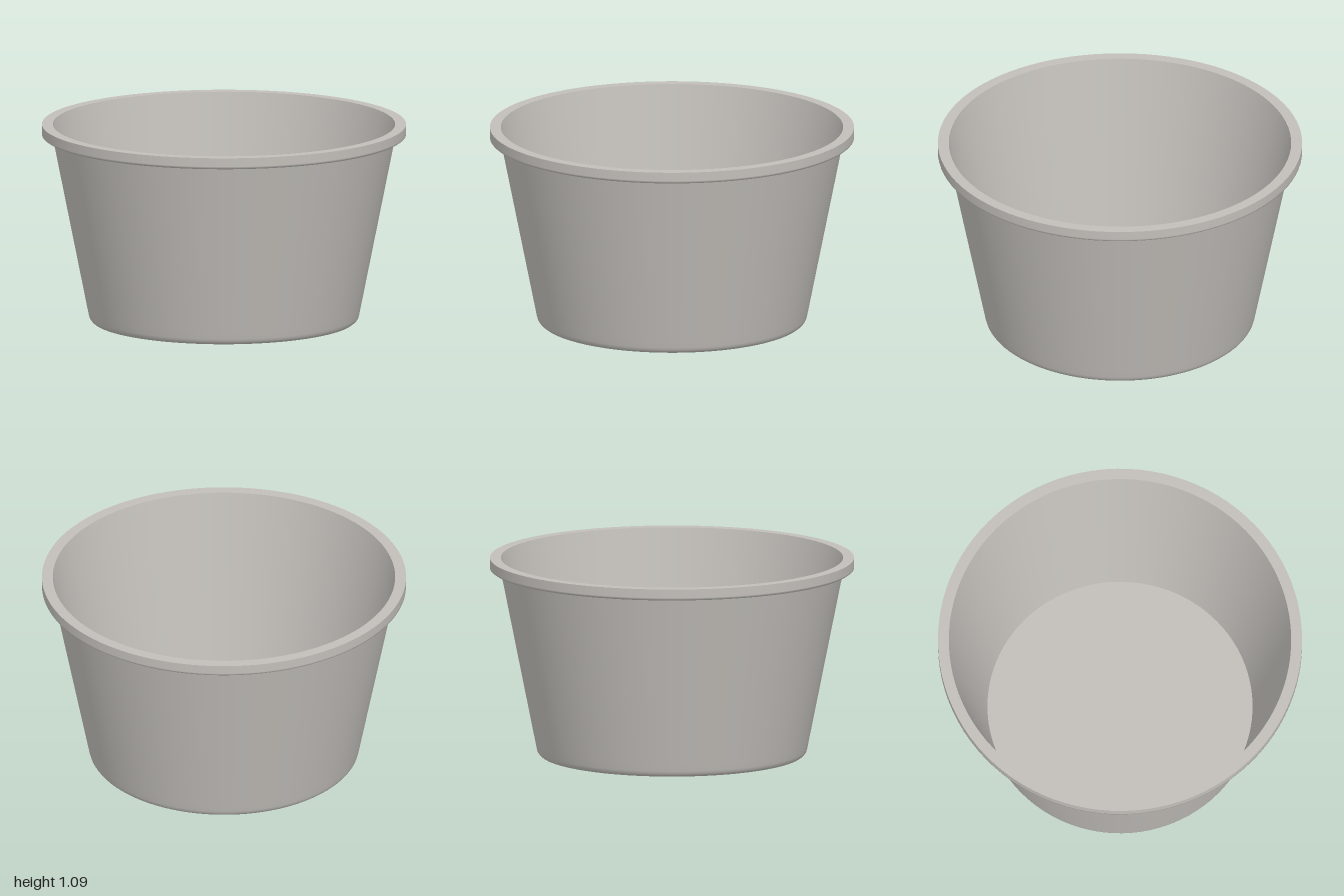
import * as THREE from 'three';

const SEGMENTS = 96;

export function createModel() {
  const group = new THREE.Group();
  group.name = 'cup';
  const plastic = new THREE.MeshStandardMaterial({ color: 0xc2bfba });
  plastic.name = 'warm grey plastic';

  // Each part is its own lathe, so edges between parts stay sharp.
  const addRing = (name, profile) => {
    const points = profile.map(([r, y]) => new THREE.Vector2(r, y));
    const mesh = new THREE.Mesh(new THREE.LatheGeometry(points, SEGMENTS), plastic);
    mesh.name = name;
    group.add(mesh);
  };

  // Outside, from the base up
  addRing('base', [[0, 0], [0.722, 0]]);
  addRing('outerWall', [[0.722, 0], [0.732, 0.008], [0.739, 0.018], [0.743, 0.032], [0.75, 0.067], [0.942, 1.03]]);

  // Rim lip
  addRing('rimUnderside', [[0.942, 1.03], [0.99, 1.03]]);
  addRing('rimEdge', [[0.99, 1.03], [1, 1.037], [1, 1.045], [1, 1.093]]);
  addRing('rimTop', [[1, 1.093], [0.94, 1.093]]);

  // Inside, from the rim down
  addRing('innerWall', [[0.94, 1.093], [0.728, 0.025]]);
  addRing('floor', [[0.728, 0.025], [0, 0.025]]);

  return group;
}
